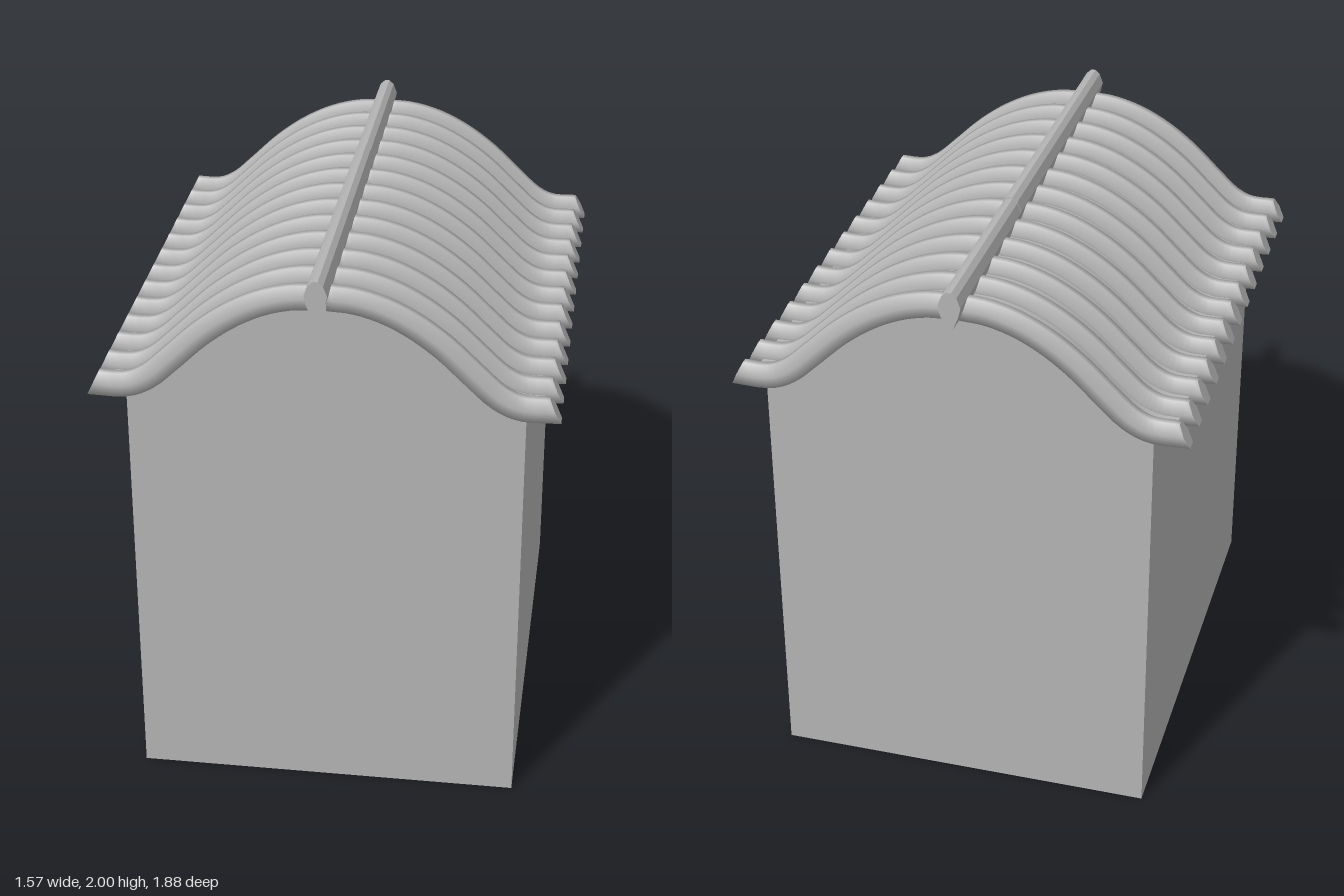
import * as THREE from 'three';

const grey = new THREE.MeshStandardMaterial({ color: 0xb4b4b4, side: THREE.DoubleSide });
grey.name = 'plain grey';

const WALL = { x0: -0.66, x1: 0.67, z0: -0.85, z1: 0.83, h: 1.51 };

// Roof slope from ridge to eave, as x and y
const slope = new THREE.CatmullRomCurve3([
  [0.02, 1.905], [0.1, 1.9], [0.2, 1.873], [0.3, 1.823], [0.4, 1.75],
  [0.5, 1.655], [0.58, 1.583], [0.65, 1.551], [0.765, 1.549],
].map(([x, y]) => new THREE.Vector3(x, y, 0)));
const STEPS = 28;

// Cross-section of a roof tile: z, height
const tileSection = [[-0.024, -0.04], [0.024, -0.04], [0.035, 0.002], [0.014, 0.04], [-0.014, 0.04], [-0.035, 0.002]];

// Sweep the tile section down the slope, smooth along the body, with flat caps
function tileGeometry() {
  const n = tileSection.length, pos = [], index = [];
  for (let i = 0; i <= STEPS; i++) {
    const p = slope.getPoint(i / STEPS), t = slope.getTangent(i / STEPS);
    const slant = i === STEPS ? -0.5 : 0; // the eave end is cut at an angle
    for (const [z, h] of tileSection) {
      const s = i === 0 || i === STEPS ? 0.93 : 1;
      pos.push(p.x - t.y * h + slant * h, p.y + t.x * h, z * s);
    }
  }
  for (let i = 0; i < STEPS; i++) for (let j = 0; j < n; j++) {
    const a = i * n + j, b = i * n + (j + 1) % n;
    index.push(a, a + n, b, b, a + n, b + n);
  }
  // Caps get their own vertices so their edges stay sharp
  for (const ring of [0, STEPS]) {
    const base = pos.length / 3;
    for (let k = ring * n * 3, e = k + n * 3; k < e; k++) pos.push(pos[k]);
    for (let j = 1; j < n - 1; j++) {
      if (ring) index.push(base, base + j + 1, base + j);
      else index.push(base, base + j, base + j + 1);
    }
  }
  const g = new THREE.BufferGeometry();
  g.setAttribute('position', new THREE.Float32BufferAttribute(pos, 3));
  g.setIndex(index);
  g.computeVertexNormals();
  return g;
}

// Thin curved sheet under the tiles
function sheetGeometry() {
  const g = new THREE.PlaneGeometry(1, 1.7, 16, 1).rotateX(-Math.PI / 2);
  const p = g.attributes.position;
  for (let i = 0; i < p.count; i++) {
    const q = slope.getPoint((p.getX(i) + 0.5) * 0.955);
    p.setXYZ(i, q.x, q.y - 0.008, p.getZ(i));
  }
  g.computeVertexNormals();
  return g;
}

// End wall with an arched top
function gableShape() {
  const s = new THREE.Shape();
  s.moveTo(WALL.x0, 0);
  s.lineTo(WALL.x1, 0);
  s.lineTo(WALL.x1, WALL.h);
  const arch = slope.getPoints(STEPS).filter((p) => p.x < 0.64);
  for (const p of [...arch].reverse()) s.lineTo(p.x, p.y - 0.042);
  for (const p of arch) s.lineTo(-p.x, p.y - 0.042);
  s.lineTo(WALL.x0, WALL.h);
  s.closePath();
  return s;
}

export function createModel() {
  const model = new THREE.Group();
  model.name = 'tiledRoofHouse';
  const add = (parent, name, geo, x = 0, y = 0, z = 0, ry = 0) => {
    const m = new THREE.Mesh(geo, grey);
    m.name = name;
    m.position.set(x, y, z);
    m.rotation.y = ry;
    parent.add(m);
    return m;
  };

  // Walls, open below
  const walls = new THREE.Group();
  walls.name = 'walls';
  model.add(walls);
  const gable = new THREE.ShapeGeometry(gableShape());
  add(walls, 'frontWall', gable, 0, 0, WALL.z1);
  const back = gable.clone().scale(-1, 1, 1);
  back.setIndex([...gable.index.array].reverse());
  back.translate(WALL.x0 + WALL.x1, 0, 0);
  back.rotateY(Math.PI);
  back.translate(WALL.x0 + WALL.x1, 0, 0);
  add(walls, 'backWall', back, 0, 0, WALL.z0);
  const side = new THREE.PlaneGeometry(WALL.z1 - WALL.z0, WALL.h);
  const zMid = (WALL.z0 + WALL.z1) / 2;
  add(walls, 'leftWall', side, WALL.x1, WALL.h / 2, zMid, Math.PI / 2);
  add(walls, 'rightWall', side, WALL.x0, WALL.h / 2, zMid, -Math.PI / 2);

  // Both roof slopes with thirteen tile rows each
  const roof = new THREE.Group();
  roof.name = 'roof';
  model.add(roof);
  const sheet = sheetGeometry(), tile = tileGeometry();
  for (const [label, turn] of [['left', 0], ['right', Math.PI]]) {
    add(roof, label + 'RoofSheet', sheet, 0, 0, -0.005, turn);
    for (let i = -6; i <= 6; i++) add(roof, label + 'TileRow', tile, 0, 0, -0.005 + i * 0.1412, turn);
  }

  // Ridge cap, in two lengths that meet with a slight step
  const ridge = new THREE.Shape([
    [-0.011, 1.868], [0.011, 1.868], [0.03, 1.915], [0.038, 1.95], [0.025, 1.985],
    [0.008, 2], [-0.008, 2], [-0.025, 1.985], [-0.038, 1.95], [-0.03, 1.915],
  ].map(([x, y]) => new THREE.Vector2(x, y)));
  for (const [name, z0, z1, drop] of [['backRidge', -0.94, -0.23, 0.004], ['frontRidge', -0.23, 0.94, 0]]) {
    const g = new THREE.ExtrudeGeometry(ridge, { depth: z1 - z0, bevelEnabled: false });
    add(roof, name, g, -0.005, -drop, z0);
  }
  return model;
}
